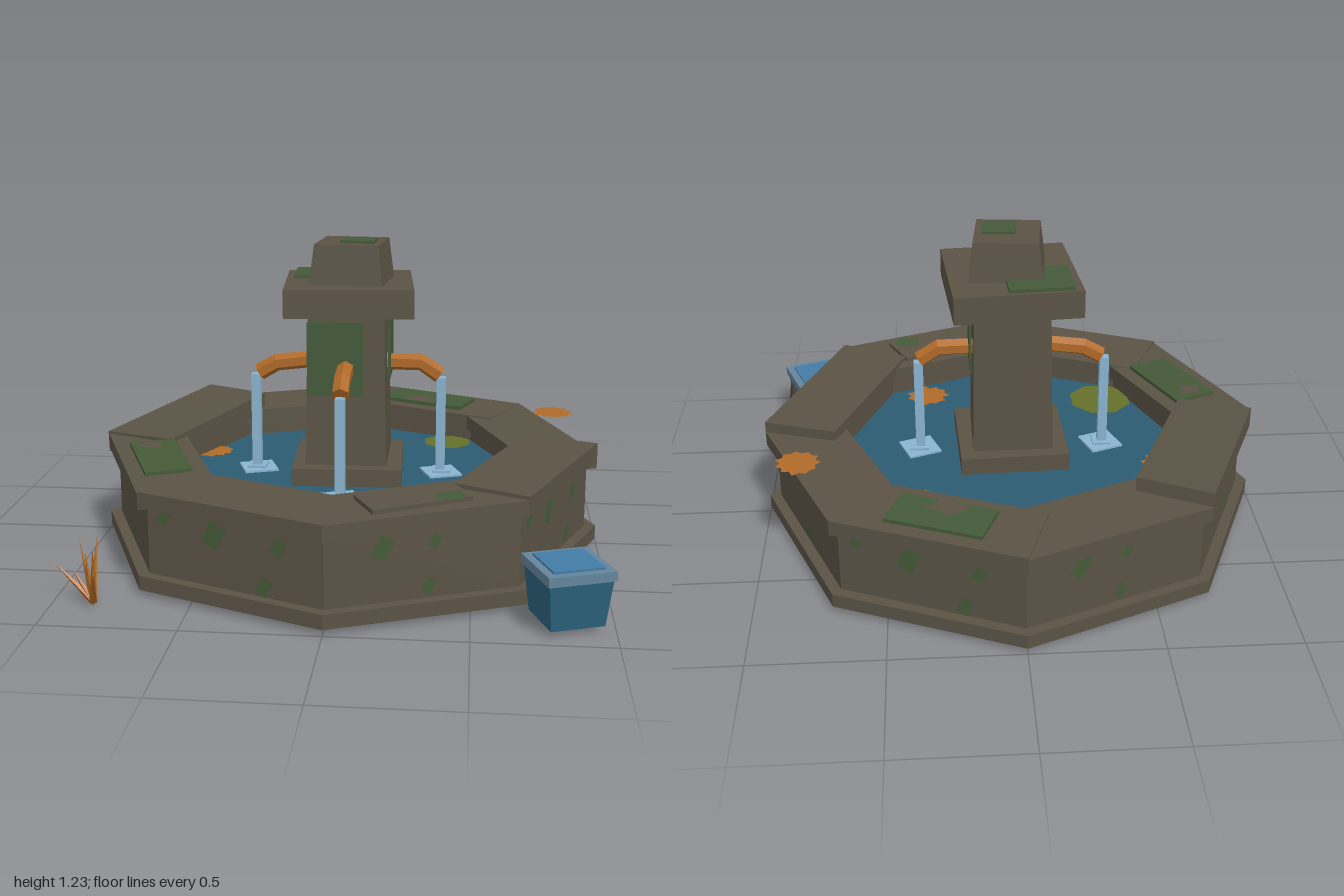
import * as THREE from 'three';

const mat = (name, color, double) => {
  const m = new THREE.MeshStandardMaterial({ color, flatShading: true });
  m.name = name;
  if (double) m.side = THREE.DoubleSide;
  return m;
};

export function createModel() {
  const M = {
    stone: mat('stone', 0x5a5345, true),
    moss: mat('moss', 0x445a38, true),
    water: mat('poolWater', 0x2b5b70),
    stream: mat('fallingWater', 0x8ab4d0),
    rust: mat('rustyOrange', 0xb06a28, true),
    lily: mat('lilyGreen', 0x66702a, true),
    bucket: mat('bucketBlue', 0x2c627c),
    band: mat('bucketBand', 0x64859c),
    bucketWater: mat('bucketWater', 0x437ba6),
    iron: mat('darkHandle', 0x48433a),
  };
  const root = new THREE.Group();
  root.name = 'fountain';

  let seed = 7;
  const rand = () => (seed = (seed * 16807) % 2147483647) / 2147483647;

  const add = (name, geo, material, x = 0, y = 0, z = 0, ry = 0, parent = root) => {
    const m = new THREE.Mesh(geo, material);
    m.name = name;
    m.position.set(x, y, z);
    m.rotation.y = ry;
    parent.add(m);
    return m;
  };
  const box = (w, h, d) => new THREE.BoxGeometry(w, h, d);
  // square block that tapers from bottom width to top width
  const taper = (bottom, top, h) =>
    new THREE.CylinderGeometry(top * Math.SQRT1_2, bottom * Math.SQRT1_2, h, 4).rotateY(Math.PI / 4);
  // irregular flat blob in the XY plane
  const blob = (r, n, rough) => {
    const pts = [];
    for (let i = 0; i < n; i++) {
      const a = (i / n) * Math.PI * 2;
      const q = r * (1 - rough * (i % 2 ? rand() * 0.4 : 0.6 + rand() * 0.4));
      pts.push(new THREE.Vector2(Math.cos(a) * q, Math.sin(a) * q));
    }
    return new THREE.ShapeGeometry(new THREE.Shape(pts));
  };
  const flat = (name, r, n, rough, m, x, y, z, parent = root) =>
    add(name, blob(r, n, rough).rotateX(-Math.PI / 2), m, x, y, z, 0, parent);
  const V = (x, y, z) => new THREE.Vector3(x, y, z);
  // six-sided pipe with mitred joints along three points in the YZ plane
  const pipe = (path, r) => {
    const geo = new THREE.CylinderGeometry(r, r, 2, 6, 2);
    const p = geo.attributes.position;
    for (let i = 0; i < p.count; i++) {
      const k = Math.round(p.getY(i)) + 1;
      const t = path[Math.min(k + 1, 2)].clone().sub(path[Math.max(k - 1, 0)]).normalize();
      const s = p.getZ(i);
      p.setXYZ(i, p.getX(i), path[k].y - s * t.z, path[k].z + s * t.y);
    }
    geo.computeVertexNormals();
    return geo;
  };

  // Basin: octagonal footing, wall ring and pool
  add('footing', new THREE.CylinderGeometry(0.995, 0.995, 0.055, 8), M.stone, 0, 0.0475, 0);
  const wall = [[0.69, 0.36], [0.69, 0.07], [0.95, 0.07], [0.95, 0.36], [0.69, 0.36]]
    .map(([r, y]) => new THREE.Vector2(r, y));
  add('basinWall', new THREE.LatheGeometry(wall, 8), M.stone);
  add('poolWater', new THREE.CylinderGeometry(0.7, 0.7, 0.02, 8), M.water, 0, 0.268, 0);

  // Rim stones: [base height, thickness, tilt] around the octagon, from front right
  const rims = [
    [0.34, 0.06, 0.02], [0.352, 0.068, 0], [0.325, 0.06, 0.025], [0.338, 0.06, 0.01],
    [0.335, 0.06, 0], [0.35, 0.085, -0.045], [0.338, 0.06, -0.03], [0.335, 0.06, 0],
  ];
  const slab = new THREE.Shape([
    new THREE.Vector2(-0.379, -0.915), new THREE.Vector2(0.379, -0.915),
    new THREE.Vector2(0.36, -0.615), new THREE.Vector2(-0.36, -0.615),
  ]);
  // wall moss spots on alternating sides: [along, height, size]
  const spots = [
    [[-0.15, 0.275, 0.058], [0.04, 0.285, 0.034], [0.02, 0.12, 0.04]],
    [[-0.08, 0.27, 0.062], [0.185, 0.265, 0.045], [-0.29, 0.3, 0.035], [0.13, 0.115, 0.045]],
  ];
  rims.forEach(([y, h, tilt], i) => {
    const side = new THREE.Group();
    side.name = 'basinSide';
    side.rotation.y = Math.PI / 8 + (i * Math.PI) / 4;
    root.add(side);
    const geo = new THREE.ExtrudeGeometry(slab, { depth: h, bevelEnabled: false }).rotateX(-Math.PI / 2);
    const stone = add('rimStone', geo, M.stone, 0, y, 0, 0, side);
    stone.rotation.z = tilt;
    // mossy plates with bare patches
    if (i === 3 || i === 6) {
      add('rimMoss', box(0.38, 0.014, 0.18), M.moss, 0, h + 0.007, 0.767, 0, stone);
      const [x, z] = i === 3 ? [0.01, 0.725] : [-0.125, 0.78];
      const patch = flat('barePatch', 0.06, 9, 0.5, M.stone, x, h + 0.0165, z, stone);
      patch.scale.x = i === 3 ? 1.7 : 1;
    }
    if (i === 0) {
      add('rimPlate', box(0.38, 0.016, 0.18), M.stone, 0, h + 0.008, 0.767, 0.06, stone);
      flat('rimPlateMoss', 0.06, 9, 0.4, M.moss, 0.12, h + 0.018, 0.82, stone).scale.x = 1.3;
    }
    spots[i % 2].forEach(([x, my, r]) => {
      const spot = add('wallMoss', blob(r, 8, 0.5), M.moss, x, my, 0.88, 0, side);
      spot.rotation.z = -0.5;
      spot.scale.set(0.85, 1.2, 1);
    });
  });

  // Central pillar
  add('plinth', box(0.43, 0.09, 0.43), M.stone, 0, 0.303, 0, 0.04);
  add('pillarShaft', taper(0.318, 0.295, 0.64), M.stone, 0, 0.64, 0);
  add('pillarCap', box(0.495, 0.11, 0.495), M.stone, 0, 1.005, 0, 0.08);
  add('pillarTop', taper(0.285, 0.25, 0.155), M.stone, 0.012, 1.137, 0.005, -0.1);
  add('capMoss', box(0.25, 0.014, 0.21), M.moss, -0.1, 1.067, -0.12, 0.06);
  add('topMoss', box(0.13, 0.012, 0.11), M.moss, 0.042, 1.219, 0.033, -0.08);
  add('frontMoss', box(0.22, 0.29, 0.009), M.moss, -0.04, 0.775, 0.162);
  add('sideMoss', box(0.009, 0.24, 0.195), M.moss, 0.163, 0.8, -0.032);

  // Spouts with falling water on the left, right and front
  [-Math.PI / 2, 0, Math.PI / 2].forEach((a, i) => {
    const g = new THREE.Group();
    g.name = 'spout';
    g.rotation.y = a;
    root.add(g);
    const path = i === 2
      ? [V(0, 0.737, 0.13), V(0, 0.735, 0.285), V(0, 0.685, 0.36)]
      : [V(0, 0.742, 0.13), V(0, 0.722, 0.29), V(0, 0.682, 0.36)];
    add('spoutPipe', pipe(path, 0.034), M.rust, 0, 0, 0, 0, g);
    add('waterStream', box(0.037, 0.4, 0.037), M.stream, 0, 0.475, i === 2 ? 0.367 : 0.375, 0, g);
    add('splash', box(0.135, 0.008, 0.135), M.stream, 0, 0.284, 0.37, 0.35, g);
    add('innerSplash', box(0.075, 0.02, 0.075), M.stream, 0, 0.288, 0.373, 0, g);
  });

  // Lily pads and fallen leaves
  flat('lilyPad', 0.107, 16, 0.13, M.lily, 0.385, 0.285, -0.43);
  flat('lilyPad', 0.14, 16, 0.13, M.lily, -0.415, 0.285, 0.365);
  flat('leaf', 0.097, 22, 0.32, M.rust, 0.83, 0.445, -0.37);
  flat('leaf', 0.095, 22, 0.32, M.rust, 0.335, 0.287, 0.44);
  flat('leaf', 0.095, 22, 0.32, M.rust, -0.6, 0.287, -0.2);

  // Bucket
  const bucket = new THREE.Group();
  bucket.name = 'bucket';
  bucket.position.set(0.833, 0, 0.81);
  bucket.rotation.y = 0.35;
  root.add(bucket);
  add('bucketBody', taper(0.2, 0.235, 0.175), M.bucket, 0, 0.1075, 0, 0, bucket);
  add('bucketBand', box(0.25, 0.035, 0.25), M.band, 0, 0.208, 0, 0, bucket);
  add('bucketWater', box(0.19, 0.008, 0.19), M.bucketWater, 0, 0.229, 0, 0, bucket);
  const handle = add('bucketHandle', box(0.022, 0.12, 0.03), M.iron, 0.132, 0.14, 0.0, 0, bucket);
  handle.rotation.z = 0.13;

  // Dry grass tuft
  const tuft = new THREE.Group();
  tuft.name = 'dryGrass';
  root.add(tuft);
  const foot = V(-0.85, 0.01, 0.8);
  [[-1, 0.14, 0.76], [-0.9, 0.22, 0.76], [-0.85, 0.23, 0.71], [-0.82, 0.23, 0.88], [-0.87, 0.19, 0.8],
    [-0.8, 0.17, 0.95], [-0.93, 0.12, 0.77], [-0.83, 0.2, 0.82], [-0.88, 0.16, 0.78]]
    .forEach((tip) => {
      const d = V(...tip).sub(foot);
      const blade = add('grassBlade', new THREE.CylinderGeometry(0.001, 0.014, d.length(), 4), M.rust, 0, 0, 0, 0, tuft);
      blade.position.copy(foot).addScaledVector(d, 0.5);
      blade.quaternion.setFromUnitVectors(V(0, 1, 0), d.normalize());
    });

  return root;
}
